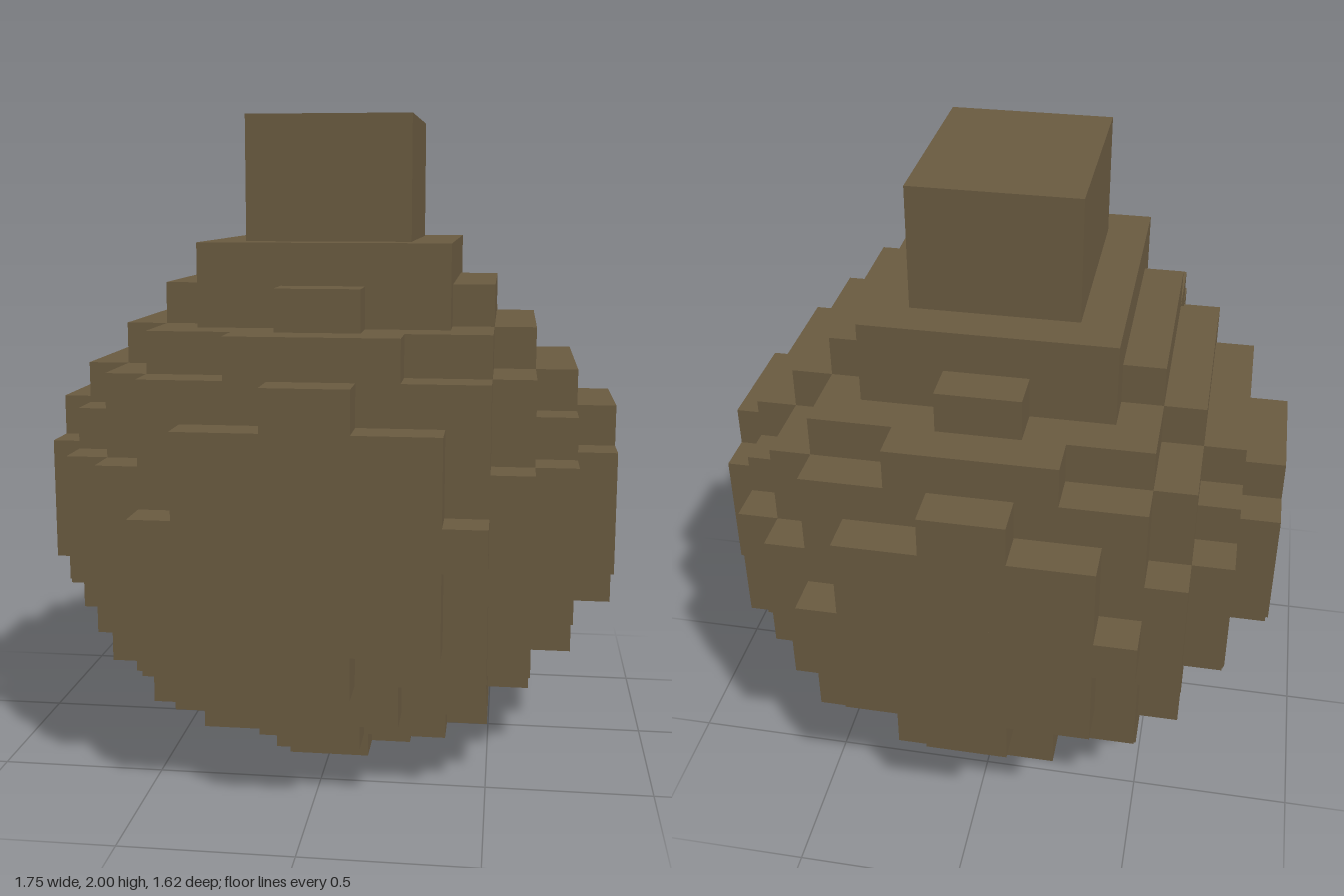
import * as THREE from 'three';

const U = 0.125; // edge of one cube cell

// Half width, in cells, of the stepped ellipsoid in layer y at depth row z
function halfWidth(y, z) {
  let w = 0;
  while (0.0204 * (w + 0.5) ** 2 + 0.0252 * y * y + 0.0205 * z * z <= 1) w++;
  return w;
}

// One slab of the body: a stepped outline extruded by one cell
function layerGeometry(y) {
  const side = [];
  for (let z = -6; z <= 6; z++) {
    const w = halfWidth(y, z);
    if (w > 0) side.push([w * U, (z - 0.5) * U], [w * U, (z + 0.5) * U]);
  }
  const mirrored = side.map(([x, z]) => [-x, z]).reverse();
  const shape = new THREE.Shape([...side, ...mirrored].map(([x, z]) => new THREE.Vector2(x, z)));
  const geometry = new THREE.ExtrudeGeometry(shape, { depth: U, bevelEnabled: false });
  return geometry.rotateX(-Math.PI / 2).translate(0, (y + 6) * U, 0);
}

export function createModel() {
  const model = new THREE.Group();
  model.name = 'blockFlask';
  const brown = new THREE.MeshStandardMaterial({ color: 0x695a40 });
  brown.name = 'brown';

  // Round body in stacked layers; the collar replaces the topmost one
  const body = new THREE.Group();
  body.name = 'body';
  for (let y = -6; y <= 5; y++) {
    const layer = new THREE.Mesh(layerGeometry(y), brown);
    layer.name = 'bodyLayer';
    body.add(layer);
  }
  model.add(body);

  // Box parts on top, sized in cells and standing on a given cell level
  const addBlock = (name, w, h, d, level) => {
    const mesh = new THREE.Mesh(new THREE.BoxGeometry(w * U, h * U, d * U), brown);
    mesh.name = name;
    mesh.position.y = (level + h / 2) * U;
    model.add(mesh);
  };
  addBlock('collar', 6, 2, 7, 11);
  addBlock('neck', 4, 3, 5, 13);

  return model;
}
